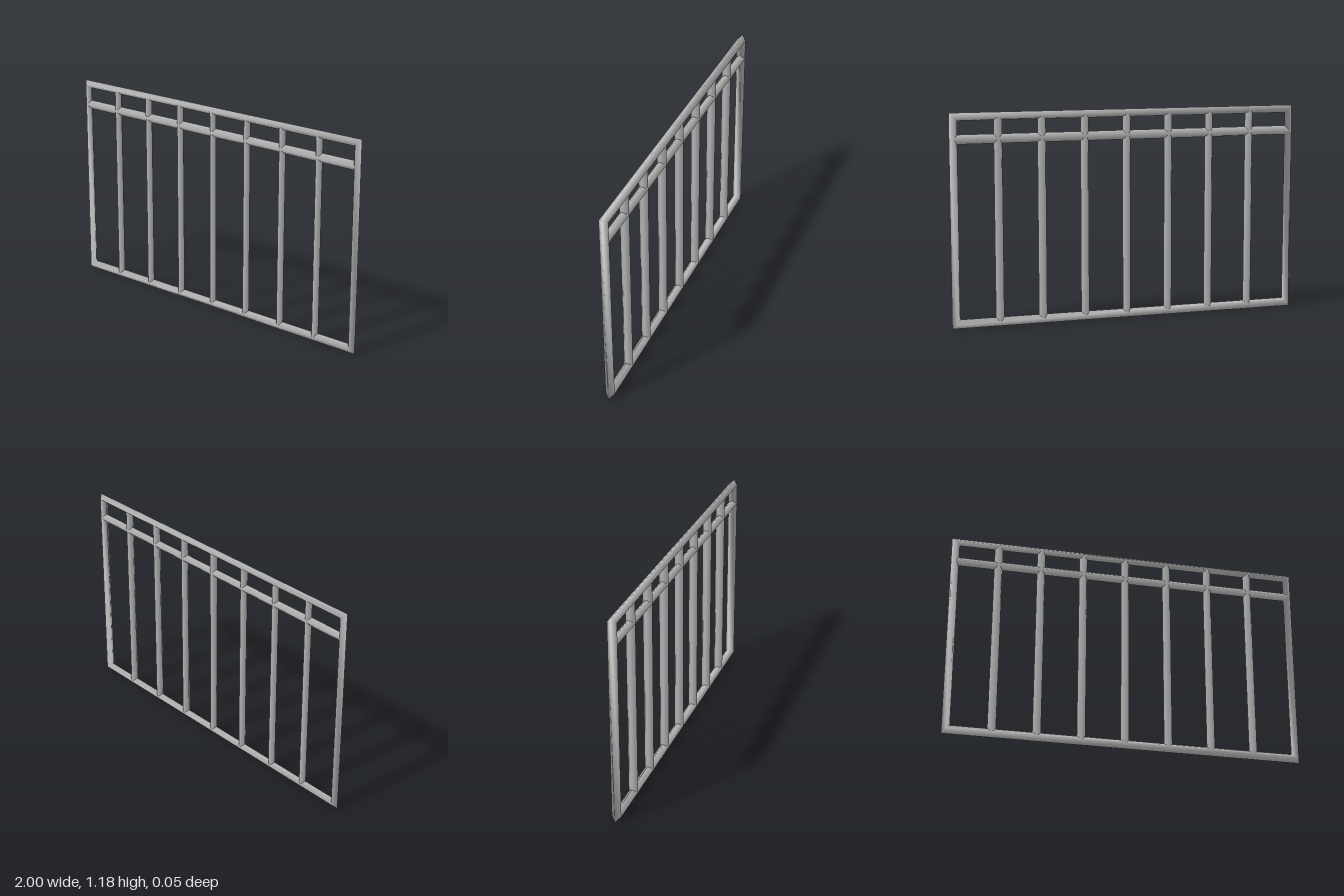
import * as THREE from 'three';

const W = 1, H = 1.18;   // half width and height of the panel
const D = 0.0266;        // half depth of every bar

// Mitred outer frame: a diamond section swept round a rectangle, smooth normals
function frameGeometry() {
  // each loop: [left/right x, bottom y, top y, z]
  const loops = [
    [W, 0, H, 0],
    [W - 0.0235, 0.0245, H - 0.0235, D],
    [W - 0.045, 0.05, H - 0.043, 0],
    [W - 0.0235, 0.0245, H - 0.0235, -D],
  ];
  const pos = [], idx = [];
  for (const [x, y0, y1, z] of loops) pos.push(-x, y0, z, x, y0, z, x, y1, z, -x, y1, z);
  for (let s = 0; s < 4; s++) {
    for (let c = 0; c < 4; c++) {
      const a = s * 4 + c, b = s * 4 + (c + 1) % 4;
      const t = (s + 1) % 4 * 4;
      const d = t + c, e = t + (c + 1) % 4;
      idx.push(a, b, e, a, e, d);
    }
  }
  const g = new THREE.BufferGeometry();
  g.setAttribute('position', new THREE.Float32BufferAttribute(pos, 3));
  g.setIndex(idx);
  g.computeVertexNormals();
  return g;
}

// Straight bar with a four-sided section and smooth normals
function barGeometry(halfWidth, length) {
  return new THREE.CylinderGeometry(D, D, length, 4, 1, true).scale(halfWidth / D, 1, 1);
}

export function createModel() {
  const group = new THREE.Group();
  const steel = new THREE.MeshStandardMaterial({ color: 0xb8b8b8 });
  steel.name = 'grey steel';

  const add = (name, geometry, x = 0, y = 0) => {
    const mesh = new THREE.Mesh(geometry, steel);
    mesh.name = name;
    mesh.position.set(x, y, 0);
    group.add(mesh);
    return mesh;
  };

  add('outerFrame', frameGeometry());

  // Horizontal rail below the row of small openings
  add('middleRail', barGeometry(0.026, 2 * W - 0.047), 0, 1.036).rotation.z = Math.PI / 2;

  // Seven evenly spaced uprights
  const upright = barGeometry(0.0235, H - 0.048);
  for (let i = -3; i <= 3; i++) add('upright' + (i + 4), upright, i * 0.244, H / 2);

  return group;
}
